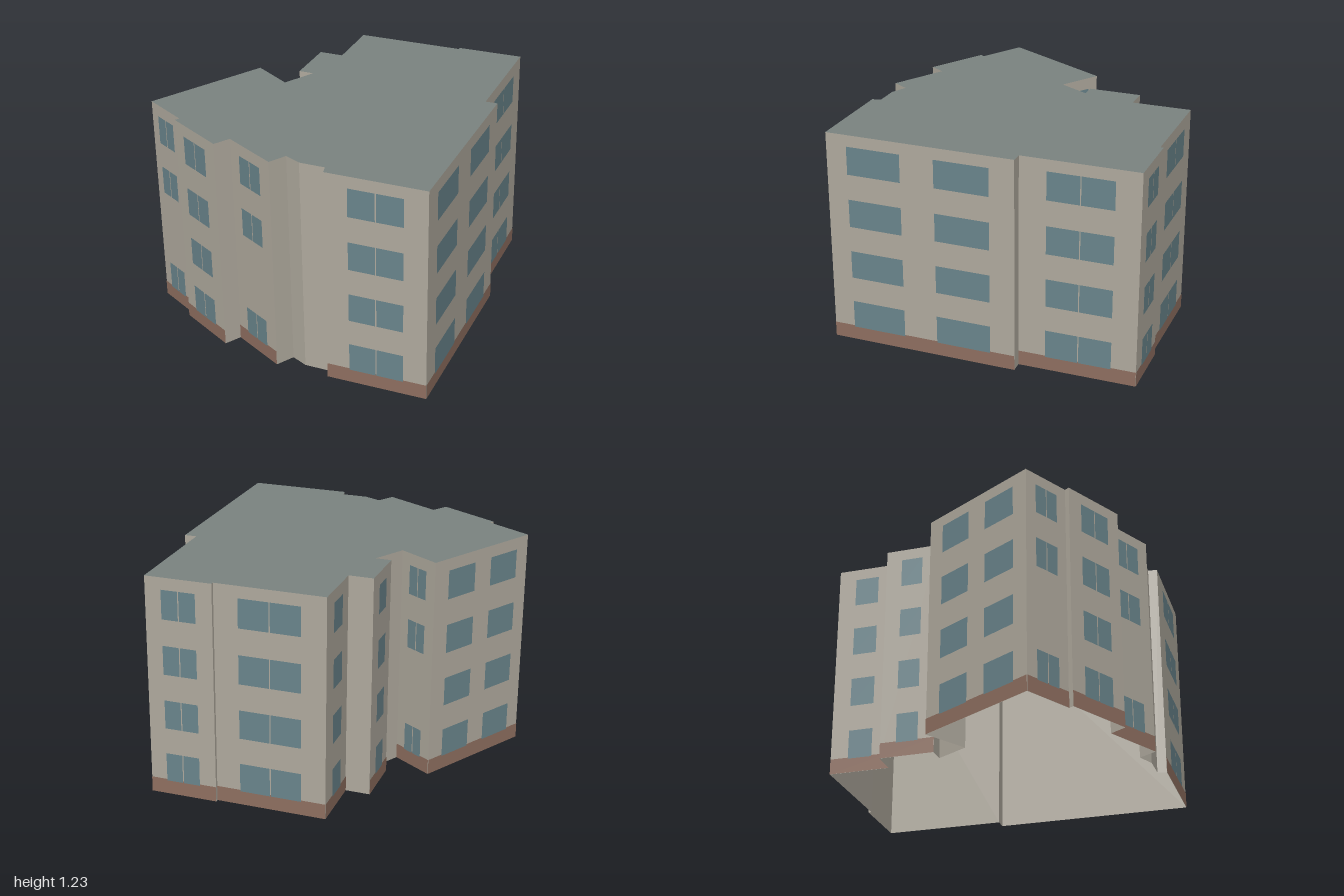
import * as THREE from 'three';
import { mergeGeometries } from 'three/addons/utils/BufferGeometryUtils.js';

const HEIGHT = 1.23, PLINTH = 0.085;
const FLOORS = [0.078, 0.386, 0.695, 1.003], WINDOW_HEIGHT = 0.162;
const ALL = [0, 1, 2, 3], NO_FIRST = [0, 2, 3];

// Footprint corners, clockwise from above. Each wall runs from its corner to the next.
// plinth: brown base band; windows: [start, end, split] as fractions of the wall
const WALLS = [
  { p: [0.07, -1.0], plinth: true, windows: [[0.21, 0.77, true]] },
  { p: [0.36, -0.4] },
  { p: [0.42, -0.43], plinth: true, windows: [[0.13, 0.42, false], [0.6, 0.888, false]] },
  { p: [0.885, 0.55], plinth: true, windows: [[0.23, 0.77, true]] },
  { p: [0.38, 0.79] },
  { p: [0.35, 0.75] },
  { p: [0.22, 0.81] },
  { p: [0.12, 0.81] },
  { p: [0.11, 0.917], plinth: true, windows: [[0.235, 0.76, true]], floors: NO_FIRST },
  { p: [-0.23, 0.897] },
  { p: [-0.24, 0.995], plinth: true, windows: [[0.23, 0.77, true]] },
  { p: [-0.61, 0.97] },
  { p: [-0.607, 0.942], plinth: true, windows: [[0.24, 0.77, true]], floors: NO_FIRST },
  { p: [-0.888, 0.922], plinth: true, windows: [[0.125, 0.41, false], [0.58, 0.86, false]] },
  { p: [-0.84, 0.203], plinth: true, windows: [[0.25, 0.75, true]], floors: NO_FIRST },
  { p: [-0.585, 0.232] },
  { p: [-0.573, 0.035] },
  { p: [-0.65, 0.07], plinth: true, windows: [[0.3, 0.7, false]] },
  { p: [-0.777, -0.2] },
  { p: [-0.655, -0.258], plinth: true, windows: [[0.3, 0.7, false]] },
  { p: [-0.8, -0.56], plinth: true, windows: [[0.22, 0.78, true]] },
  { p: [-0.255, -0.822] },
  { p: [-0.262, -0.838], plinth: true, windows: [[0.245, 0.755, true]] },
];

// Upright rectangle lying on the wall a-b, pushed outwards by offset
function panel(a, b, t0, t1, y0, y1, offset = 0) {
  const dx = b[0] - a[0], dz = b[1] - a[1], length = Math.hypot(dx, dz);
  const t = (t0 + t1) / 2;
  const g = new THREE.PlaneGeometry(length * (t1 - t0), y1 - y0);
  g.rotateY(Math.atan2(dz, -dx));
  return g.translate(
    a[0] + dx * t + (dz / length) * offset,
    (y0 + y1) / 2,
    a[1] + dz * t - (dx / length) * offset
  );
}

export function createModel() {
  const group = new THREE.Group();
  const add = (name, geometry, color, side = THREE.FrontSide) => {
    const mesh = new THREE.Mesh(geometry, new THREE.MeshStandardMaterial({ color, side }));
    mesh.name = name;
    group.add(mesh);
  };

  const walls = [], plinths = [], panes = [];
  WALLS.forEach((wall, i) => {
    const a = wall.p, b = WALLS[(i + 1) % WALLS.length].p;
    const length = Math.hypot(b[0] - a[0], b[1] - a[1]);
    walls.push(panel(a, b, 0, 1, 0, HEIGHT));
    if (wall.plinth) plinths.push(panel(a, b, 0, 1, 0, PLINTH, 0.002));
    for (const [t0, t1, split] of wall.windows ?? []) {
      // Split windows have two panes with a narrow gap between them
      const mid = (t0 + t1) / 2, gap = 0.003 / length;
      const spans = split ? [[t0, mid - gap], [mid + gap, t1]] : [[t0, t1]];
      for (const floor of wall.floors ?? ALL) {
        const y = FLOORS[floor];
        for (const [s0, s1] of spans) panes.push(panel(a, b, s0, s1, y, y + WINDOW_HEIGHT, 0.004));
      }
    }
  });

  // Open-bottomed shell of walls with its base band and windows
  add('walls', mergeGeometries(walls), 0xb0aa9e, THREE.DoubleSide);
  add('plinth', mergeGeometries(plinths), 0x8f6f60);
  add('windows', mergeGeometries(panes), 0x6a858c);

  // Flat roof over the footprint
  const outline = new THREE.Shape(WALLS.map(({ p }) => new THREE.Vector2(p[0], -p[1])));
  const roof = new THREE.ShapeGeometry(outline).rotateX(-Math.PI / 2).translate(0, HEIGHT, 0);
  add('roof', roof, 0x7a8380, THREE.DoubleSide);

  return group;
}
